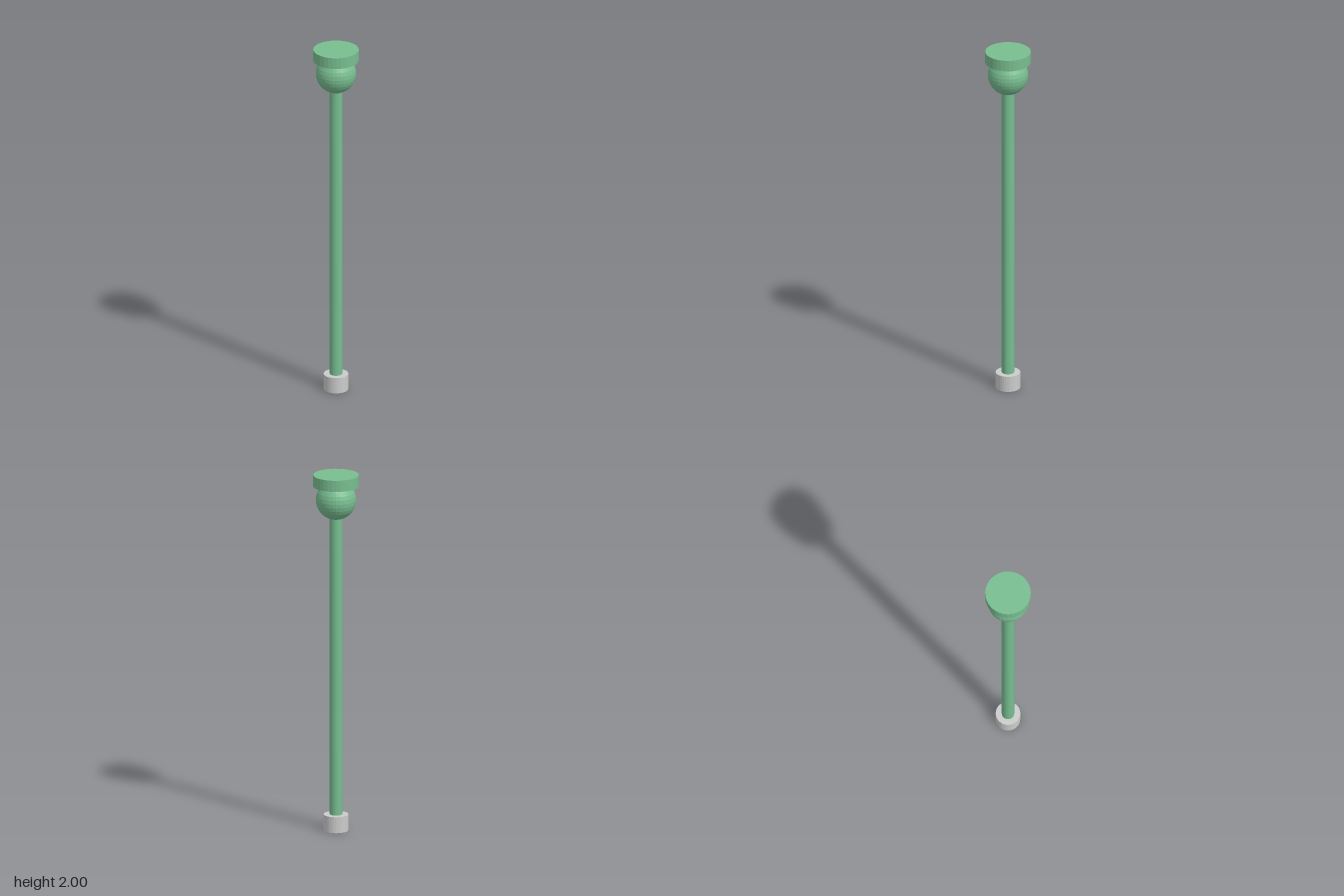
import * as THREE from 'three';

const SEGMENTS = 32;

export function createModel() {
  const model = new THREE.Group();
  const green = new THREE.MeshStandardMaterial({ color: 0x78bd90, flatShading: true });
  const grey = new THREE.MeshStandardMaterial({ color: 0xcccccc, flatShading: true });

  const add = (name, geometry, material, y) => {
    const mesh = new THREE.Mesh(geometry, material);
    mesh.name = name;
    mesh.position.y = y;
    model.add(mesh);
  };

  // Upright cylinder between two heights
  const disc = (name, radius, bottom, top, material) =>
    add(name, new THREE.CylinderGeometry(radius, radius, top - bottom, SEGMENTS), material, (bottom + top) / 2);

  // Foot, with the rod seated inside it
  disc('foot', 0.067, 0, 0.09, grey);
  disc('rod', 0.034, 0.002, 1.8, green);

  // Ball joint and the flat plate on top of it
  add('ball', new THREE.SphereGeometry(0.11, SEGMENTS, SEGMENTS / 2), green, 1.86);
  disc('topPlate', 0.124, 1.937, 2, green);

  return model;
}
